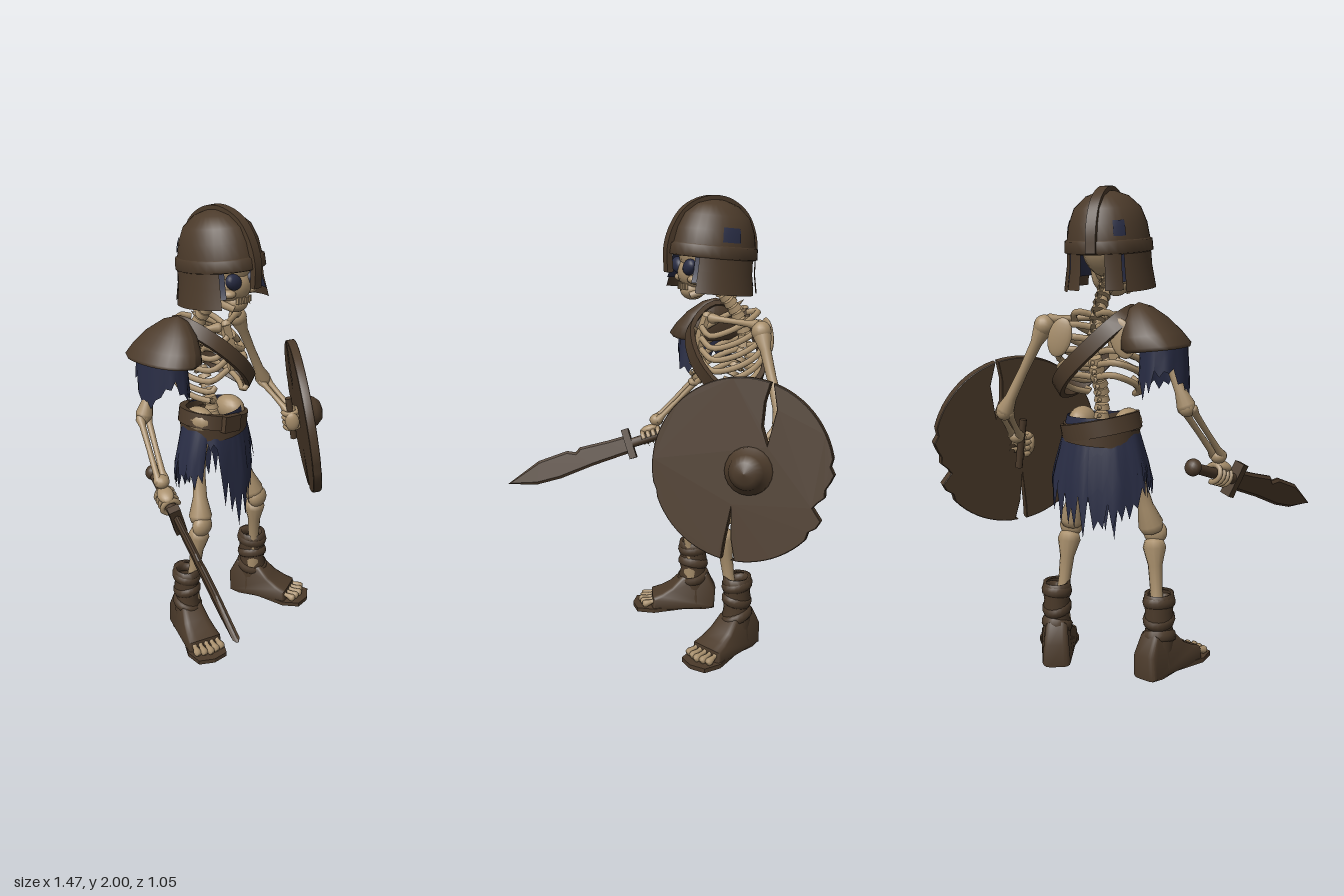
import * as THREE from 'three';
import { toCreasedNormals } from 'three/addons/utils/BufferGeometryUtils.js';

const V = (x, y, z) => new THREE.Vector3(x, y, z);
const points = pts => pts.map(p => new THREE.Vector2(...p));
const lathe = (pts, seg = 24, a = 0, len = Math.PI * 2) => new THREE.LatheGeometry(points(pts), seg, a, len);
const slab = (pts, depth, opts) => new THREE.ExtrudeGeometry(new THREE.Shape(points(pts)), { depth, bevelEnabled: false, ...opts });
const surface = (pos, idx) => {
  const g = new THREE.BufferGeometry();
  g.setAttribute('position', new THREE.Float32BufferAttribute(pos, 3));
  g.setIndex(idx);
  g.computeVertexNormals();
  return g;
};
const mat = (name, color, side) => Object.assign(new THREE.MeshStandardMaterial({ color, side }), { name });

export function createModel() {
  const model = new THREE.Group();
  const bone = mat('bone', 0xa88f6c, THREE.FrontSide);
  const leather = mat('dark leather', 0x4b3a2a, THREE.DoubleSide);
  const cloth = mat('navy cloth', 0x292d45, THREE.DoubleSide);

  const place = (o, name, parent, pos) => {
    o.name = name;
    o.position.set(...pos);
    parent.add(o);
    return o;
  };
  const add = (name, geo, material, parent = model, pos = [0, 0, 0]) => place(new THREE.Mesh(geo, material), name, parent, pos);
  const group = (name, pos = [0, 0, 0], parent = model) => place(new THREE.Group(), name, parent, pos);
  const ball = (name, pos, r, material = bone, parent = model) =>
    add(name, new THREE.SphereGeometry(1, 16, 12).scale(...r), material, parent, pos);
  const tube = (name, pts, r, parent = model) =>
    add(name, new THREE.TubeGeometry(new THREE.CatmullRomCurve3(pts.map(p => V(...p))), 18, r, 7), bone, parent);
  const orient = (g, x, y) => {
    x.normalize(); y.addScaledVector(x, -y.dot(x)).normalize();
    g.quaternion.setFromRotationMatrix(new THREE.Matrix4().makeBasis(x, y, x.clone().cross(y)));
  };

  // Long bone with a slim shaft and knobbed ends
  function limb(name, a, b, r, parent = model) {
    const d = V(...b).sub(V(...a)), L = d.length(), k = 1.6 * r;
    add(name, lathe([[0, -k * 0.6], [k * 0.8, -k * 0.3], [k, k * 0.3], [r, k * 1.8], [r * 0.85, L / 2],
      [r, L - k * 1.8], [k, L - k * 0.3], [k * 0.8, L + k * 0.3], [0, L + k * 0.6]], 12), bone, parent, a)
      .quaternion.setFromUnitVectors(V(0, 1, 0), d.normalize());
  }

  // Flat strap swept along a curve, its face turned away from a centre
  function band(name, pts, w, t, centre, closed, parent = model, material = leather) {
    const curve = new THREE.CatmullRomCurve3(pts.map(p => V(...p)), closed), n = 36, pos = [], idx = [];
    for (let k = 0; k <= n; k++) {
      const p = curve.getPointAt(k / n), T = curve.getTangentAt(k / n), out = p.clone().sub(V(...centre));
      out.addScaledVector(T, -out.dot(T)).normalize();
      const side = out.clone().cross(T);
      for (const [u, v] of [[1, 1], [-1, 1], [-1, -1], [1, -1]])
        pos.push(...p.clone().addScaledVector(side, u * w / 2).addScaledVector(out, v * t / 2).toArray());
      if (k < n) for (let c = 0; c < 4; c++) {
        const a = k * 4 + c, b = k * 4 + (c + 1) % 4;
        idx.push(a, b, b + 4, a, b + 4, a + 4);
      }
    }
    const e = n * 4;
    if (!closed) idx.push(2, 1, 0, 3, 2, 0, e, e + 1, e + 2, e, e + 2, e + 3);
    add(name, toCreasedNormals(surface(pos, idx), 0.7), material, parent);
  }

  // Tattered cloth hanging from an oval, its length given by angle
  function tatters(name, pos, rx, rz, flareX, flareZ, length, n) {
    const verts = [], idx = [];
    for (let i = 0; i <= n; i++) {
      const a = (i / n) * Math.PI * 2 - Math.PI, h = Math.abs(Math.sin((i % n) * 12.99) * 43.7) % 1;
      const L = length(a) * (i % 2 ? 1 - 0.12 * h : 0.6 + 0.3 * h);
      for (let j = 0; j < 4; j++) {
        const y = -L * j / 3, f = Math.min(1, -y / 0.25), fold = 1 + 0.05 * Math.sin(a * 9) * j / 3;
        verts.push(Math.sin(a) * rx * (fold + flareX * f), y, Math.cos(a) * rz * (fold + flareZ * f));
        if (i < n && j < 3) { const k = i * 4 + j; idx.push(k, k + 1, k + 4, k + 1, k + 5, k + 4); }
      }
    }
    add(name, surface(verts, idx), cloth, model, pos);
  }

  // Skull
  const skull = group('skull');
  ball('cranium', [0, 1.77, -0.23], [0.11, 0.13, 0.14], bone, skull);
  ball('face', [0, 1.685, -0.17], [0.086, 0.08, 0.085], bone, skull);
  ball('jaw', [0, 1.61, -0.15], [0.052, 0.043, 0.055], bone, skull);
  for (const s of [-1, 1]) {
    ball('cheekbone', [s * 0.066, 1.66, -0.13], [0.03, 0.02, 0.035], bone, skull);
    tube('jawHinge', [[s * 0.08, 1.68, -0.2], [s * 0.072, 1.62, -0.18], [s * 0.04, 1.59, -0.12]], 0.016, skull);
    ball('eyeSocket', [s * 0.057, 1.712, -0.107], [0.044, 0.033, 0.026], cloth, skull).rotation.z = s * 0.45;
    for (let i = 0; i < 3; i++)
      add('tooth', new THREE.BoxGeometry(0.011, 0.026, 0.012), bone, skull, [s * (0.008 + i * 0.014), 1.628, -0.092 - i * 0.005]);
  }

  // Helmet: dome, rim, crest with nose guard, cheek and neck plates
  const helmet = group('helmet', [0, 1.77, -0.237]);
  helmet.rotation.x = -0.1;
  const oval = group('helmetShell', [0, 0, 0], helmet);
  oval.scale.z = 1.17;
  add('dome', lathe([[0.17, -0.02], [0.165, 0.03], [0.155, 0.09], [0.132, 0.15], [0.085, 0.195], [0.03, 0.215], [0, 0.218]], 32), leather, oval);
  add('rim', lathe([[0.165, -0.025], [0.177, -0.02], [0.174, 0.025], [0.163, 0.03]], 32), leather, oval);
  for (const s of [-1, 1])
    for (const [name, a, b, m, k, low] of [['cheekGuard', 0.92, 2.4, leather, 1, -0.17], ['liner', 0.8, 2.6, cloth, 0.94, -0.13],
      ['neckGuard', 2.47, 2.85, leather, 1.02, -0.16]])
      add(name, lathe([[0.184 * k, low], [0.17 * k, -0.08], [0.166 * k, 0]], 14, s > 0 ? a : -b, b - a), m, oval);
  for (const [a, len] of [[1.4, 0.45], [3.65, 0.3]])
    add('clothPatch', lathe([[0.166, 0.045], [0.161, 0.08], [0.153, 0.105]], 8, a, len), cloth, oval);
  band('crest', [[0, -0.1, 0.192], [0, 0, 0.205], [0, 0.09, 0.186], [0, 0.17, 0.135], [0, 0.217, 0.04], [0, 0.215, -0.05],
    [0, 0.165, -0.137], [0, 0.08, -0.187], [0, -0.02, -0.205]], 0.042, 0.026, [0, 0, 0], false, helmet);

  // Spine
  const spine = new THREE.CatmullRomCurve3([V(0.01, 1.02, -0.31), V(0, 1.18, -0.33), V(0, 1.35, -0.41), V(0, 1.49, -0.37), V(0, 1.63, -0.26)]);
  for (let i = 0; i < 20; i++) {
    const v = add('vertebra', new THREE.CylinderGeometry(0.027, 0.033, 0.024, 10), bone, model, spine.getPointAt(i / 19).toArray());
    v.quaternion.setFromUnitVectors(V(0, 1, 0), spine.getTangentAt(i / 19));
    add('spinousProcess', new THREE.ConeGeometry(0.012, 0.045, 6).rotateX(-Math.PI / 2), bone, v, [0, 0, -0.04]);
  }

  // Ribcage, shoulder bones and pelvis
  band('sternum', [[0, 1.49, -0.215], [0, 1.4, -0.185], [0, 1.3, -0.175]], 0.045, 0.02, [0, 1.4, -0.35], false, model, bone);
  for (const s of [-1, 1]) {
    for (let i = 0; i < 6; i++) {
      const y = 1.5 - i * 0.049, w = [0.1, 0.145, 0.165, 0.17, 0.165, 0.15][i];
      const end = i > 3 ? [s * (0.05 + 0.035 * (i - 3)), y - 0.07, -0.2] : [s * 0.015, y - 0.05, -0.185];
      tube('rib', [[s * 0.015, y, -0.41], [s * w * 0.6, y + 0.01, -0.44], [s * w, y - 0.025, -0.37],
        [s * w * 0.97, y - 0.065, -0.28], [s * w * 0.65, y - 0.085, -0.2], end], 0.0135);
    }
    limb('collarbone', [s * 0.02, 1.485, -0.23], [s * 0.22, 1.475, -0.35], 0.015);
    ball('shoulderBlade', [s * 0.13, 1.41, -0.45], [0.05, 0.08, 0.014]).rotation.z = s * 0.3;
    ball('shoulderJoint', [s * 0.235, 1.45, -0.36], [0.043, 0.045, 0.043]);
    ball('hipBone', [s * 0.1, 1.06, -0.29], [0.055, 0.06, 0.08]);
    ball('hipSocket', [s * 0.09, 0.97, -0.3], [0.045, 0.05, 0.05]);
  }

  // Arms with paired forearm bones
  for (const [shoulder, elbow, wrist] of [[[-0.245, 1.44, -0.36], [-0.365, 1.14, -0.36], [-0.45, 0.92, -0.17]],
    [[0.24, 1.44, -0.36], [0.42, 1.09, -0.365], [0.44, 0.96, -0.21]]]) {
    limb('upperArm', shoulder, elbow, 0.024);
    ball('elbow', elbow, [0.034, 0.036, 0.034]);
    for (const o of [-0.02, 0.02])
      limb('forearm', [elbow[0] + o, elbow[1], elbow[2]], [wrist[0] + o * 0.8, wrist[1], wrist[2]], 0.014);
    ball('wrist', wrist, [0.034, 0.03, 0.034]);
  }

  // Finger bones curled round a handle lying along local x
  function hand(parent, x) {
    for (let i = 0; i < 4; i++)
      add('finger', new THREE.TorusGeometry(0.036, 0.012, 6, 14, 4.6).rotateY(Math.PI / 2), bone, parent, [x + (i - 1.5) * 0.026, 0, 0]);
    ball('palm', [x, 0.04, 0], [0.05, 0.022, 0.035], bone, parent);
  }

  // Sword
  const sword = group('sword', [-0.49, 0.8, -0.04]);
  orient(sword, V(-0.24, -0.2, 0.56), V(0, 1, 0));
  sword.rotateX(0.3);
  add('blade', slab([[0, 0.04], [0.1, 0.043], [0.24, 0.053], [0.27, 0.036], [0.31, 0.055], [0.46, 0.05], [0.64, -0.01], [0.5, -0.052],
    [0.38, -0.058], [0.2, -0.045], [0, -0.04]], 0.008, { bevelEnabled: true, bevelThickness: 0.01, bevelSize: 0.012,
    bevelOffset: -0.008, bevelSegments: 1 }).translate(0, 0, -0.004), leather, sword);
  add('guard', new THREE.BoxGeometry(0.035, 0.15, 0.05), leather, sword);
  add('grip', new THREE.CylinderGeometry(0.022, 0.024, 0.28, 12).rotateZ(Math.PI / 2), leather, sword, [-0.15, 0, 0]);
  ball('pommel', [-0.3, 0, 0], [0.032, 0.036, 0.036], leather, sword);
  hand(sword, -0.12);

  // Cracked, chipped shield with boss and handle
  const shield = group('shield', [0.473, 0.935, -0.15]);
  orient(shield, V(0.665, 0.05, -0.735), V(-0.14, 0.98, -0.06));
  const chips = { 1: 0.36, 39: 0.368, 64: 0.36, 67: 0.32, 68: 0.33, 69: 0.35, 70: 0.345, 71: 0.36 };
  const cracks = { 14: [[0.135, 0.349], [0.15, 0.25], [0.11, 0.1], [0.085, 0.18], [0.095, 0.28], [0.118, 0.355]],
    52: [[-0.08, -0.365], [-0.07, -0.3], [-0.035, -0.14], [-0.035, -0.28], [-0.02, -0.372]] };
  const rim = Array.from({ length: 72 }, (_, i) => {
    const a = i * Math.PI / 36, r = chips[i] ?? 0.374;
    return cracks[i] ?? [[r * Math.cos(a), r * Math.sin(a)]];
  }).flat();
  add('shieldBoard', toCreasedNormals(slab(rim, 0.025, { bevelEnabled: true, bevelThickness: 0.008, bevelSize: 0.004,
    bevelSegments: 2 }), 0.5), leather, shield, [0, 0, -0.015]);
  add('boss', lathe([[0, 0.088], [0.045, 0.078], [0.072, 0.05], [0.08, 0.022], [0.097, 0.018], [0.1, 0]], 20)
    .rotateX(Math.PI / 2), leather, shield, [0.035, 0, 0.015]);
  const grip = group('shieldGrip', [0, 0, -0.06], shield);
  grip.rotation.z = Math.PI / 2;
  add('handle', new THREE.CylinderGeometry(0.016, 0.016, 0.22, 10).rotateZ(Math.PI / 2), leather, grip);
  hand(grip, 0);

  // Peaked, squarish shoulder guard leaning inward, with torn sleeve
  const pad = lathe([[0.14, 0], [0.152, 0.015], [0.135, 0.06], [0.1, 0.12], [0.05, 0.17], [0, 0.19]], 28), pp = pad.attributes.position;
  for (let i = 0; i < pp.count; i++) {
    const [x, y, z] = [pp.getX(i), pp.getY(i), pp.getZ(i)], r = Math.hypot(x, z) || 1;
    const square = z < 0 ? (Math.abs(x / r) ** 3 + Math.abs(z / r) ** 3) ** (-1 / 3) : 1;
    pp.setXYZ(i, x * square * 0.83 + y * 0.36, y, z * square * 1.2);
  }
  pad.computeVertexNormals();
  add('shoulderGuard', pad, leather, model, [-0.248, 1.365, -0.34]).rotation.z = -0.1;
  tatters('tornSleeve', [-0.265, 1.4, -0.34], 0.09, 0.125, 0.1, 0.1, a => 0.18 + 0.05 * Math.sin(a * 3), 32);

  // Chest strap, belts and buckle
  band('chestStrap', [[-0.15, 1.51, -0.32], [-0.08, 1.43, -0.18], [0.05, 1.3, -0.15], [0.16, 1.19, -0.22], [0.185, 1.19, -0.33],
    [0.12, 1.26, -0.44], [0, 1.37, -0.475], [-0.12, 1.48, -0.44]], 0.065, 0.022, [0, 1.33, -0.32], true);
  for (const [name, rx, rz, y, tilt] of [['belt', 0.15, 0.135, 1.045, 0.03], ['innerBelt', 0.145, 0.13, 1.015, -0.01]])
    band(name, Array.from({ length: 12 }, (_, i) => {
      const a = i * Math.PI / 6;
      return [0.01 + rx * Math.sin(a), y - tilt * Math.sin(a), -0.31 + rz * Math.cos(a)];
    }), 0.067, 0.03, [0.01, y, -0.31], true);
  add('buckle', new THREE.BoxGeometry(0.1, 0.075, 0.03), leather, model, [-0.02, 1.05, -0.17]).rotation.z = -0.15;

  // Torn loincloth: long at front and back, short at the hips
  tatters('loincloth', [0.01, 1.09, -0.31], 0.142, 0.118, 0.5, 0.32, a => {
    const f = Math.abs(a), front = Math.abs(a - 0.1);
    return front < 0.58 ? 0.62 - 0.36 * front : f < 0.95 ? 0.16 : f < 2 ? 0.34 : 0.38 + 0.12 * (f - 2);
  }, 66);

  // Legs and wrapped, open-toed boots
  for (const s of [-1, 1]) {
    limb('thigh', [s * 0.1, 0.98, -0.3], [s * 0.18, 0.61, -0.22], 0.034);
    limb('shin', [s * 0.192, 0.54, -0.22], [s * 0.225, 0.16, -0.265], 0.031);
    ball('kneecap', [s * 0.19, 0.585, -0.2], [0.052, 0.052, 0.038]);
    const boot = group('boot', [s * 0.231, 0, -0.275]);
    boot.rotation.y = s * 0.36;
    add('bootShaft', lathe([[0.066, 0.03], [0.058, 0.1], [0.062, 0.16], [0.053, 0.2], [0.06, 0.24], [0.055, 0.27], [0.062, 0.32],
      [0.058, 0.35], [0.045, 0.345]], 18).scale(1, 1, 1.15), leather, boot);
    for (const [y, r, t] of [[0.31, 0.053, 0.12], [0.235, 0.052, -0.2], [0.16, 0.056, 0.25]])
      add('ankleWrap', new THREE.TorusGeometry(r, 0.013, 8, 20).rotateX(Math.PI / 2).scale(1, 1.9, 1.15), leather, boot, [0, y, 0])
        .rotation.set(t, 0, t * s);
    // Foot profile from heel to instep, widened toward the toes and narrowed upward
    const foot = slab([[0.09, 0.015], [0.095, 0.1], [0.06, 0.17], [-0.05, 0.155], [-0.1, 0.105], [-0.15, 0.075], [-0.19, 0.06], [-0.195, 0.015]],
      0.06, { bevelEnabled: true, bevelThickness: 0.03, bevelSize: 0.015, bevelSegments: 3 }).translate(0, 0, -0.03).rotateY(Math.PI / 2);
    const fp = foot.attributes.position;
    for (let i = 0; i < fp.count; i++) fp.setX(i, fp.getX(i) * (1 + Math.max(0, fp.getZ(i)) * 1.9 - Math.max(0, fp.getY(i) - 0.04) * 1.8));
    add('footWrap', toCreasedNormals(foot, 0.8), leather, boot);
    add('sole', slab([[-0.045, 0.1], [-0.06, 0.05], [-0.055, -0.05], [-0.09, -0.2], [-0.07, -0.28], [0, -0.3], [0.07, -0.28],
      [0.09, -0.2], [0.055, -0.05], [0.06, 0.05], [0.045, 0.1]], 0.02).rotateX(-Math.PI / 2), leather, boot);
    for (let i = 0; i < 5; i++)
      limb('toe', [(i - 2) * 0.027, 0.055, 0.17], [(i - 2) * 0.03, 0.036, 0.262 - Math.abs(i - 2) * 0.008], 0.0115, boot);
  }
  return model;
}
